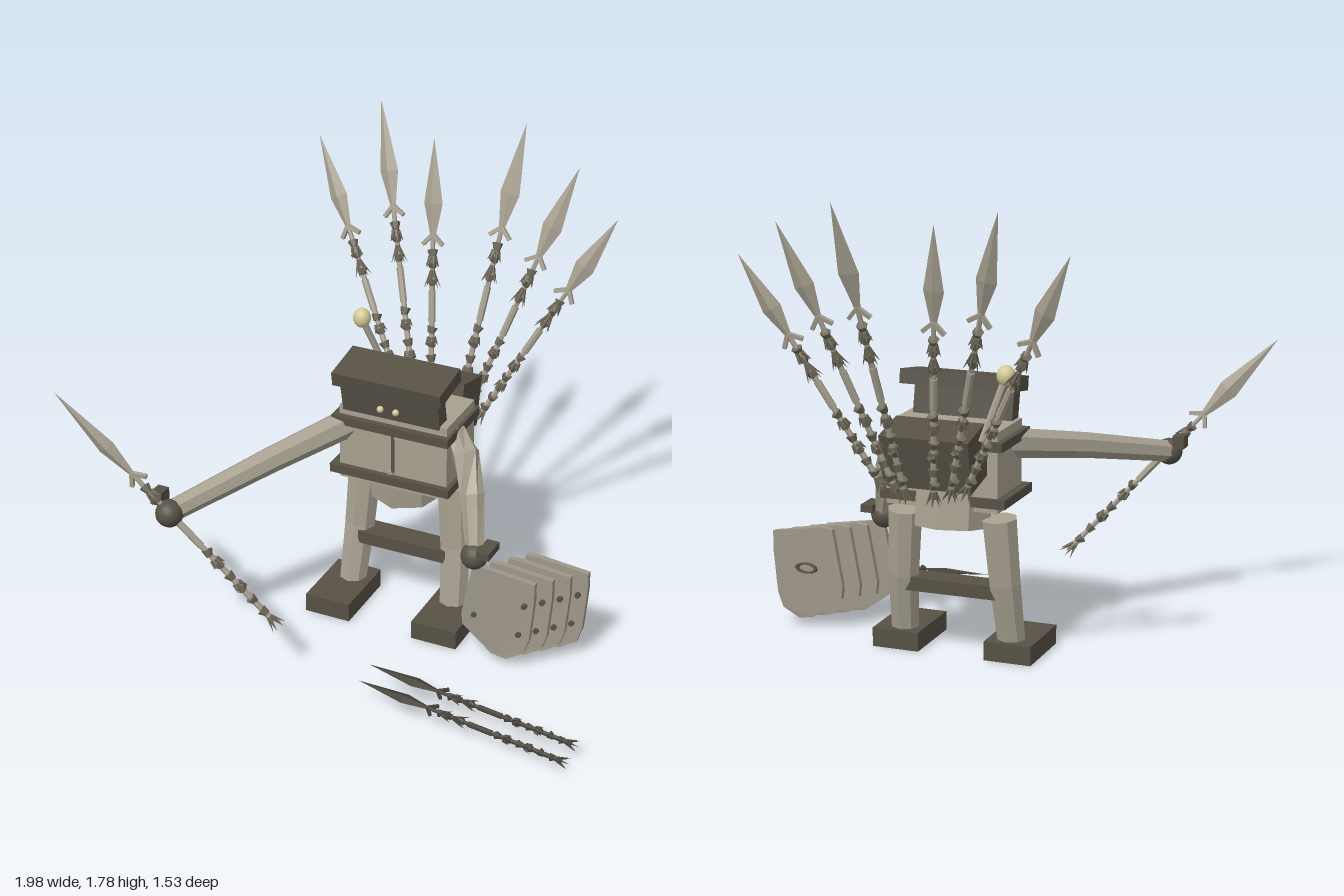
import * as THREE from 'three';

const mat = (name, color) => {
  const m = new THREE.MeshStandardMaterial({ color });
  m.name = name;
  return m;
};
const V = (x, y, z) => new THREE.Vector3(x, y, z);

export function createModel() {
  const root = new THREE.Group();
  const stone = mat('pale stone', 0xa8a191);
  const dark = mat('dark stone', 0x575145);
  const bone = mat('bone brown', 0x6e6859);
  const plate = mat('shield grey', 0x9d968a);
  const ivory = mat('ivory', 0xd4ca98);
  const black = mat('dark iron', 0x46423a);

  // Faceted mesh helper
  const add = (parent, name, geo, m, x = 0, y = 0, z = 0, rx = 0) => {
    const g = geo.index ? geo.toNonIndexed() : geo;
    g.computeVertexNormals();
    const mesh = new THREE.Mesh(g, m);
    mesh.name = name;
    mesh.position.set(x, y, z);
    mesh.rotation.x = rx;
    parent.add(mesh);
    return mesh;
  };
  const box = (name, w, h, d, m, x, y, z, rx) =>
    add(root, name, new THREE.BoxGeometry(w, h, d), m, x, y, z, rx);
  const ball = (name, r, m, x, y, z) => {
    const b = new THREE.Mesh(new THREE.SphereGeometry(r, 16, 12), m);
    b.name = name;
    b.position.set(x, y, z);
    root.add(b);
    return b;
  };

  // Tapered limb lofted through points with a polygonal section
  const limb = (name, pts, radii, m, sides = 7) => {
    const pos = [], idx = [];
    pts.forEach((p, i) => {
      const t = pts[Math.min(i + 1, pts.length - 1)].clone().sub(pts[Math.max(i - 1, 0)]).normalize();
      const q = new THREE.Quaternion().setFromUnitVectors(V(0, 1, 0), t);
      for (let k = 0; k < sides; k++) {
        const a = (k / sides) * Math.PI * 2;
        const v = V(Math.sin(a) * radii[i], 0, Math.cos(a) * radii[i]).applyQuaternion(q).add(p);
        pos.push(v.x, v.y, v.z);
      }
    });
    for (let i = 0; i < pts.length - 1; i++)
      for (let k = 0; k < sides; k++) {
        const a = i * sides + k, b = i * sides + (k + 1) % sides;
        idx.push(a, b, b + sides, a, b + sides, a + sides);
      }
    const end = (pts.length - 1) * sides;
    for (let k = 1; k < sides - 1; k++) idx.push(0, k + 1, k, end, end + k, end + k + 1);
    const g = new THREE.BufferGeometry();
    g.setAttribute('position', new THREE.Float32BufferAttribute(pos, 3));
    g.setIndex(idx);
    return add(root, name, g, m);
  };

  // Torso, bands and pelvis
  box('torso', 0.44, 0.305, 0.25, stone, 0, 0.738, -0.075);
  box('upperBand', 0.475, 0.035, 0.295, dark, -0.005, 0.838, -0.073);
  box('lowerBand', 0.49, 0.035, 0.29, dark, -0.008, 0.625, -0.073);
  box('chestSeam', 0.012, 0.17, 0.004, dark, 0, 0.735, 0.051);
  const pelvis = add(root, 'pelvis', new THREE.CylinderGeometry(0.15, 0.15, 0.17, 8), stone, -0.012, 0.59, -0.11, 0.125);
  pelvis.scale.z = 1.06;

  // Head, brim and eyes
  box('head', 0.395, 0.2, 0.065, dark, -0.007, 0.94, 0.03, 0.2);
  box('brim', 0.44, 0.055, 0.185, dark, -0.01, 1.03, 0, 0.16);
  for (const x of [-0.043, 0.02]) ball('eye', 0.013, ivory, x, 0.92, 0.068);

  // Back pack with knobbed rod
  box('backPack', 0.345, 0.2, 0.172, dark, -0.007, 0.811, -0.289, -0.22);
  limb('rod', [V(-0.2, 0.88, -0.31), V(-0.262, 1.1, -0.24)], [0.013, 0.013], stone, 6);
  ball('rodKnob', 0.034, ivory, -0.265, 1.113, -0.238).scale.y = 1.15;

  // Legs, feet and crossbar
  for (const s of [-1, 1]) {
    const x = (v) => s * v - 0.013;
    limb('leg', [V(x(0.215), 0.05, -0.065), V(x(0.203), 0.3, -0.11), V(x(0.187), 0.55, -0.128)],
      [0.055, 0.062, 0.068], stone, 8);
    box('foot', 0.185, 0.074, 0.285, dark, x(0.225), 0.037, -0.002);
  }
  box('crossbar', 0.37, 0.052, 0.1, dark, -0.013, 0.265, -0.1);

  // Arms and round hands
  limb('rightArm', [V(-0.18, 0.81, -0.02), V(-0.38, 0.745, 0.3), V(-0.6, 0.66, 0.65)], [0.058, 0.05, 0.042], stone);
  ball('rightHand', 0.052, dark, -0.605, 0.655, 0.667);
  box('rightCuff', 0.045, 0.05, 0.06, dark, -0.655, 0.705, 0.645);
  limb('leftArm', [V(0.2, 0.82, -0.05), V(0.265, 0.76, -0.02), V(0.325, 0.64, 0.05), V(0.375, 0.45, 0.13)],
    [0.05, 0.052, 0.047, 0.036], stone);
  ball('leftHand', 0.052, dark, 0.375, 0.437, 0.138);
  box('leftCuff', 0.05, 0.03, 0.1, dark, 0.425, 0.468, 0.13);

  // Shield of four staggered plates
  const outline = [[0.375, 0.4], [0.42, 0.405], [0.62, 0.375], [0.62, 0.3], [0.605, 0.13],
    [0.585, 0.07], [0.52, 0.03], [0.46, 0.04], [0.335, 0.13], [0.33, 0.18]];
  const shape = new THREE.Shape(outline.map((p) => new THREE.Vector2(...p)));
  const shield = new THREE.Group();
  shield.name = 'shield';
  root.add(shield);
  for (let i = 0; i < 4; i++) {
    const dx = i * 0.05, z = 0.13 - i * 0.052;
    const g = new THREE.ExtrudeGeometry(shape, { depth: 0.022, bevelEnabled: false });
    const p = g.attributes.position;
    // Bow each plate gently about its vertical middle
    for (let k = 0; k < p.count; k++) p.setZ(k, p.getZ(k) - 0.7 * (p.getX(k) - 0.47) ** 2 + 0.008);
    add(shield, 'shieldPlate', g, plate, dx, 0, z);
    for (const [x, y] of [[0.385, 0.19], [0.585, 0.28], [0.565, 0.15]])
      add(shield, 'rivet', new THREE.CylinderGeometry(0.011, 0.011, 0.02, 8), dark, x + dx, y, z + 0.022, Math.PI / 2);
  }
  const handle = add(shield, 'shieldHandle', new THREE.TorusGeometry(0.04, 0.009, 6, 12), dark, 0.63, 0.24, -0.035);
  handle.scale.y = 0.45;

  // Spear: leaf blade, forked guard, knotted shaft and thorny frills
  const spear = (name, base, tip, facing, main, knot, w = 1) => {
    const g = new THREE.Group();
    g.name = name;
    root.add(g);
    const d = tip.clone().sub(base), L = d.length();
    const y = d.normalize();
    const x = y.clone().cross(facing).normalize();
    g.quaternion.setFromRotationMatrix(new THREE.Matrix4().makeBasis(x, y, x.clone().cross(y)));
    g.position.copy(base);
    const cyl = (n, r1, r2, a, b, sides, m) =>
      add(g, n, new THREE.CylinderGeometry(r1 * w, r2 * w, (b - a) * L, sides), m, 0, (a + b) / 2 * L, 0);
    cyl('bladePoint', 0, 0.039, 0.775, 1, 4, main).scale.z = 0.4;
    cyl('bladeRoot', 0.039, 0.011, 0.66, 0.775, 4, main).scale.z = 0.4;
    cyl('shaft', 0.009, 0.012, 0.04, 0.67, 6, main);
    cyl('grip', 0.014, 0.014, 0.36, 0.47, 7, main);
    for (const s of [-1, 1]) {
      const prong = add(g, 'prong', new THREE.BoxGeometry(0.015 * w, 0.055 * w, 0.015 * w), main,
        s * 0.022 * w, 0.648 * L, 0);
      prong.rotation.z = s * 0.8;
    }
    // Knots along the shaft, each tipped a little differently
    [0.08, 0.13, 0.18, 0.23, 0.28, 0.33, 0.5, 0.56, 0.6].forEach((t, i) => {
      const k = cyl('knot', 0.021, 0.012, t - 0.012, t + 0.012, 6, knot);
      k.rotation.set(0.35 * Math.sin(i * 2.1), 0, 0.35 * Math.cos(i * 1.7));
    });
    // Thorn frills pointing back down the shaft
    for (const [t, len] of [[0.035, 0.06], [0.19, 0.035], [0.29, 0.035], [0.51, 0.075], [0.57, 0.045]])
      for (let k = 0; k < 6; k++) {
        const a = k * Math.PI / 3 + t * 9;
        const out = V(Math.cos(a) * 0.45, -1, Math.sin(a) * 0.45).normalize();
        const c = add(g, 'thorn', new THREE.ConeGeometry(0.009 * w, len * w, 4), knot,
          Math.cos(a) * 0.018 * w, t * L, Math.sin(a) * 0.018 * w);
        c.quaternion.setFromUnitVectors(V(0, 1, 0), out);
      }
  };

  // Fan of six spears behind the back: base x, base y, tip x, y, z
  const front = V(0, 0, 1);
  for (const [bx, by, tx, ty, tz] of [
    [-0.155, 0.68, -0.65, 1.635, -0.66], [-0.105, 0.66, -0.43, 1.785, -0.755],
    [-0.045, 0.64, -0.157, 1.71, -0.65], [0.055, 0.64, 0.172, 1.785, -0.765],
    [0.085, 0.66, 0.43, 1.69, -0.66], [0.14, 0.68, 0.62, 1.55, -0.575],
  ]) spear('backSpear', V(bx, by, -0.385), V(tx, ty, tz), front, stone, bone);

  // Held spear and two spears lying in front
  spear('heldSpear', V(-0.2, 0.21, 0.58), V(-1, 1.11, 0.765), front, stone, bone);
  for (const [y, z] of [[0.06, 0.505], [0.045, 0.595]])
    spear('groundSpear', V(0.985, y, z + 0.085), V(0.12, y + 0.045, z), V(0, 1, 0), black, black, 0.75);

  return root;
}
